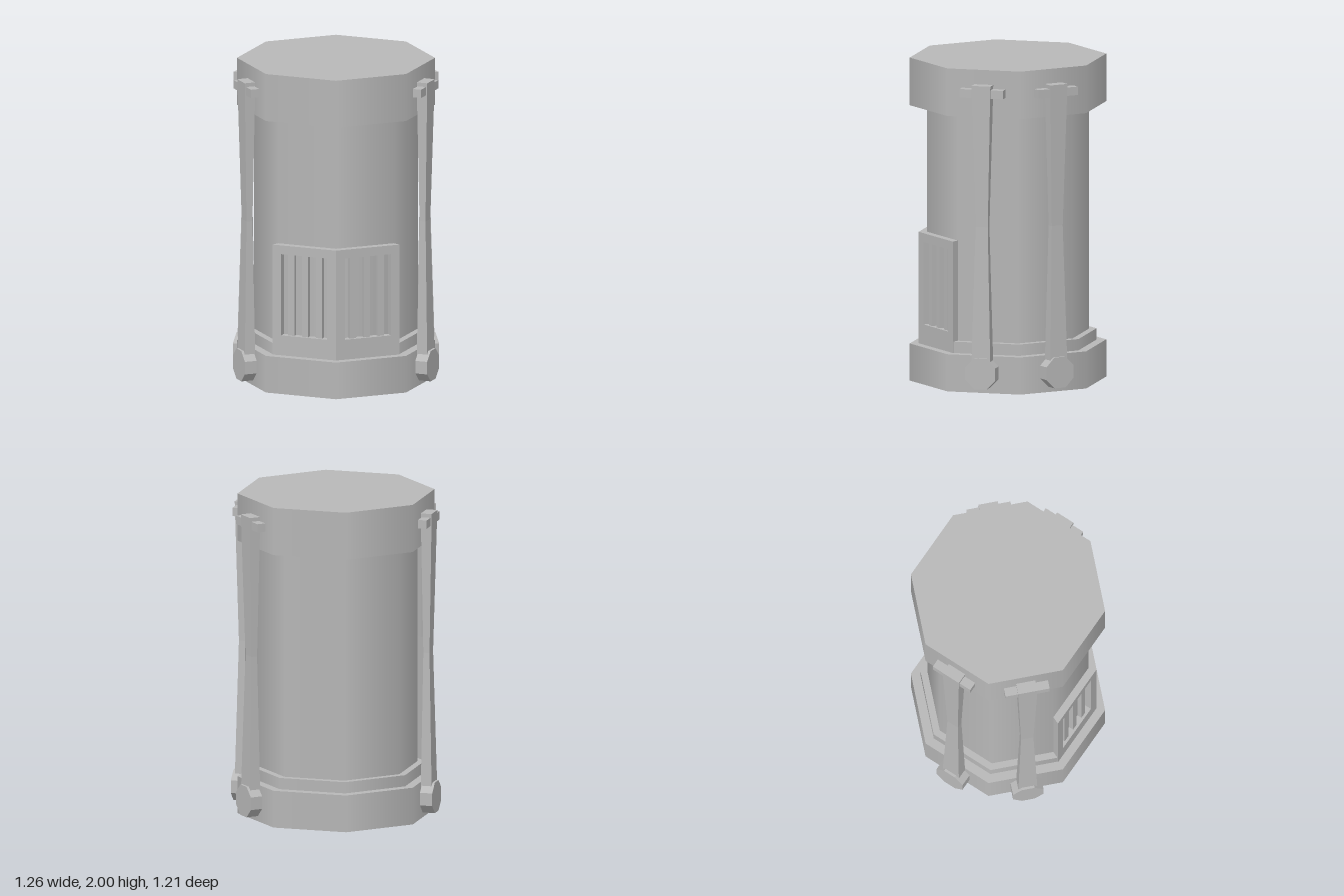
import * as THREE from 'three';

const grey = new THREE.MeshStandardMaterial({ color: 0xb8b8b8 });
grey.name = 'grey metal';

function add(parent, name, geometry, x = 0, y = 0, z = 0) {
  const mesh = new THREE.Mesh(geometry, grey);
  mesh.name = name;
  mesh.position.set(x, y, z);
  parent.add(mesh);
  return mesh;
}

function faceted(geometry) {
  const g = geometry.index ? geometry.toNonIndexed() : geometry;
  g.computeVertexNormals();
  return g;
}

// Octagonal drum with a corner pointing at the front
function drum(parent, name, radius, y0, y1) {
  add(parent, name, new THREE.CylinderGeometry(radius, radius, y1 - y0, 8), 0, (y0 + y1) / 2, 0);
}

// Group whose local +z points out of one octagon face
function faceGroup(parent, name, degrees) {
  const g = new THREE.Group();
  g.name = name;
  g.rotation.y = THREE.MathUtils.degToRad(degrees);
  parent.add(g);
  return g;
}

// Framed vent panel, mitred at both ends, with upright slats
function addVent(parent, name, degrees) {
  const g = faceGroup(parent, name, degrees);
  const outerR = 0.55, innerR = 0.5;
  const c = Math.cos(Math.PI / 8), s = Math.sin(Math.PI / 8);
  const back = innerR * c, depth = (outerR - innerR) * c;
  const w = outerR * s, h = 0.152;
  const shape = new THREE.Shape([[-w, 0.23], [w, 0.23], [w, 0.92], [-w, 0.92]]
    .map(([x, y]) => new THREE.Vector2(x, y)));
  shape.holes.push(new THREE.Path([[-h, 0.355], [-h, 0.865], [h, 0.865], [h, 0.355]]
    .map(([x, y]) => new THREE.Vector2(x, y))));
  const frame = new THREE.ExtrudeGeometry(shape, { depth, bevelEnabled: false });
  const p = frame.attributes.position;
  for (let i = 0; i < p.count; i++) {
    // narrow the back of the panel so neighbours meet at the corner
    if (Math.abs(p.getX(i)) > 0.2 && p.getZ(i) < depth / 2) {
      p.setX(i, p.getX(i) * innerR / outerR);
    }
  }
  add(g, 'ventFrame', faceted(frame), 0, 0, back);
  for (let i = -1; i <= 1; i++) {
    add(g, 'ventSlat', new THREE.BoxGeometry(0.04, 0.51, 0.03), i * 0.092, 0.61, back + 0.015);
  }
}

// Waisted strut with a crossbar at the top and an octagonal foot
function addStrut(parent, name, degrees) {
  const g = faceGroup(parent, name, degrees);
  const bar = new THREE.BoxGeometry(0.12, 1.75, 0.07, 1, 2, 1);
  const p = bar.attributes.position;
  for (let i = 0; i < p.count; i++) {
    if (Math.abs(p.getY(i)) < 0.1) {
      p.setX(i, p.getX(i) * 0.64);
      p.setZ(i, p.getZ(i) * 0.56 - 0.005);
    }
  }
  add(g, 'strutBar', faceted(bar), 0, 1.035, 0.593);
  add(g, 'crossbar', new THREE.BoxGeometry(0.275, 0.052, 0.055), 0, 1.86, 0.592);
  const foot = new THREE.CylinderGeometry(0.103, 0.103, 0.078, 8);
  foot.rotateY(Math.PI / 8).rotateX(Math.PI / 2);
  add(g, 'strutFoot', faceted(foot), 0, 0.13, 0.603);
}

export function createModel() {
  const model = new THREE.Group();
  model.name = 'canister';

  // Stacked drums
  drum(model, 'base', 0.605, 0, 0.23);
  drum(model, 'baseStep', 0.545, 0.23, 0.3);
  drum(model, 'body', 0.5, 0.3, 1.705);
  drum(model, 'cap', 0.605, 1.705, 2);

  // Vents on the two front faces
  addVent(model, 'leftVent', 22.5);
  addVent(model, 'rightVent', -22.5);

  // Struts on the four side faces
  for (const [side, sign] of [['left', 1], ['right', -1]]) {
    addStrut(model, side + 'FrontStrut', sign * 67.5);
    addStrut(model, side + 'BackStrut', sign * 112.5);
  }
  return model;
}
